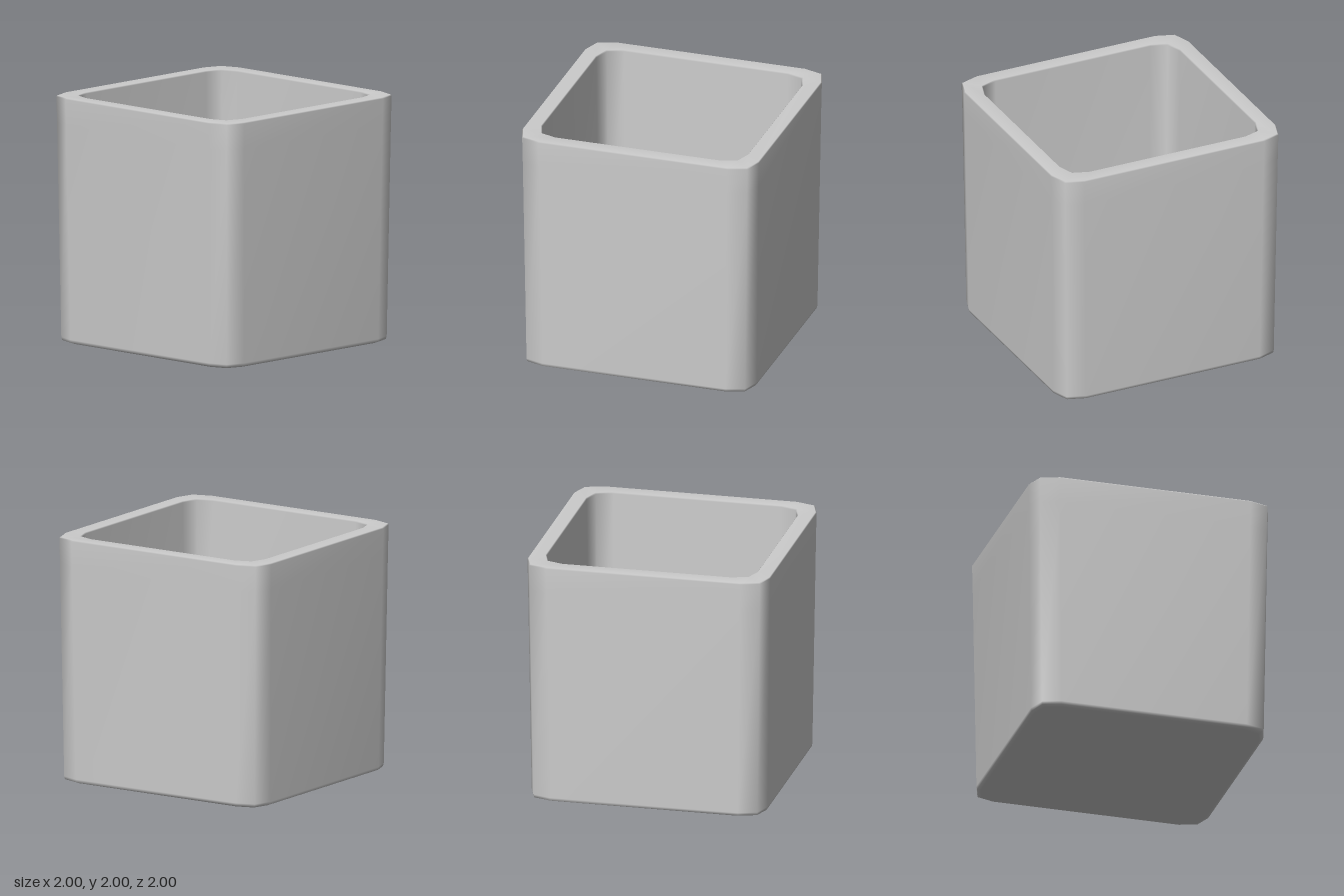
import * as THREE from 'three';

// Quarter outline of a rounded square: half width h, corner cut c
function ring(h, c, y) {
  const m = h - 0.25 * c;
  const quarter = [[h, h - c], [m, m], [h - c, h]];
  const points = [];
  for (let k = 0; k < 4; k++) {
    for (const [px, pz] of quarter) {
      let x = px, z = pz;
      for (let r = 0; r < k; r++) [x, z] = [-z, x];
      points.push([x, y, z]);
    }
  }
  return points;
}

// Skin a stack of rings into one smooth surface
function loft(rings) {
  const n = rings[0].length;
  const index = [];
  for (let i = 0; i < rings.length - 1; i++) {
    for (let j = 0; j < n; j++) {
      const a = i * n + j, b = i * n + (j + 1) % n;
      index.push(a, a + n, b, b, a + n, b + n);
    }
  }
  // Close the underside and the floor with fans
  const last = (rings.length - 1) * n;
  for (let j = 1; j < n - 1; j++) {
    index.push(0, j, j + 1);
    index.push(last, last + j + 1, last + j);
  }
  const geometry = new THREE.BufferGeometry();
  geometry.setAttribute('position', new THREE.Float32BufferAttribute(rings.flat(2), 3));
  geometry.setIndex(index);
  geometry.computeVertexNormals();
  return geometry;
}

export function createModel() {
  const group = new THREE.Group();
  group.name = 'squarePot';

  // Half width, corner cut, height: underside, outer wall, rim, cavity, floor
  const profile = [
    [0.94, 0.18, 0],
    [0.965, 0.19, 0.01],
    [0.972, 0.2, 0.035],
    [0.996, 0.2, 1.78],
    [1, 0.2, 1.99],
    [0.993, 0.2, 2],
    [0.875, 0.18, 2],
    [0.867, 0.18, 1.99],
    [0.842, 0.17, 0.2],
    [0.83, 0.17, 0.16],
    [0.8, 0.15, 0.14],
  ];
  const pot = new THREE.Mesh(
    loft(profile.map(([h, c, y]) => ring(h, c, y))),
    new THREE.MeshStandardMaterial({ color: 0xcccccc })
  );
  pot.name = 'potBody';
  group.add(pot);
  return group;
}
